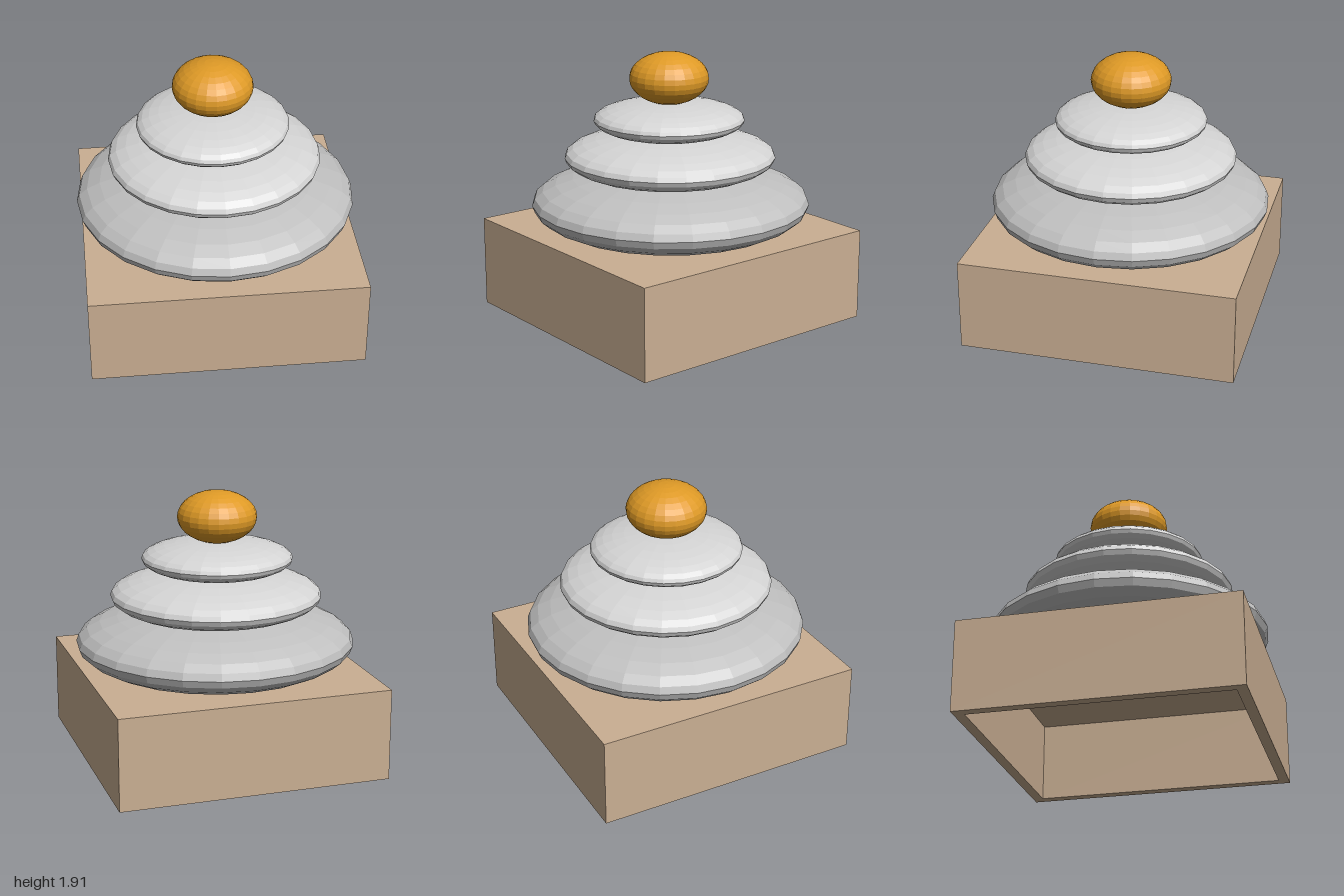
import * as THREE from 'three';
import { mergeGeometries } from 'three/addons/utils/BufferGeometryUtils.js';

const material = (name, color) =>
  new THREE.MeshStandardMaterial({ name, color, flatShading: true });

// Box without its bottom face, standing on y = 0; inward turns the faces inside
function openBox(w, h, d, inward) {
  const g = new THREE.BoxGeometry(w, h, d);
  const index = Array.from(g.index.array);
  index.splice(18, 6);
  g.setIndex(index);
  g.clearGroups();
  g.translate(0, h / 2, 0);
  if (inward) {
    g.scale(-1, 1, 1);
    g.computeVertexNormals();
  }
  return g;
}

function rectangle(PathType, w, d) {
  return new PathType([[-1, -1], [1, -1], [1, 1], [-1, 1]]
    .map(([x, y]) => new THREE.Vector2(x * w / 2, y * d / 2)));
}

// Plinth: hollow box, open underneath
function plinthGeometry(w, h, d, wall) {
  const iw = w - 2 * wall, id = d - 2 * wall;
  const rimShape = rectangle(THREE.Shape, w, d);
  rimShape.holes.push(rectangle(THREE.Path, iw, id));
  const rim = new THREE.ShapeGeometry(rimShape).rotateX(Math.PI / 2);
  return mergeGeometries([openBox(w, h, d, false), openBox(iw, h - wall, id, true), rim]);
}

export function createModel() {
  const model = new THREE.Group();
  const wood = material('tan', 0xcaaf93);
  const darkStone = material('silverGrey', 0xc0c0c0);
  const lightStone = material('lightGrey', 0xd5d5d5);
  const amber = material('amber', 0xdf9a26);

  const plinth = new THREE.Mesh(plinthGeometry(1.925, 0.65, 1.94, 0.074), wood);
  plinth.name = 'plinth';
  plinth.position.z = 0.009;
  model.add(plinth);

  // Stacked flattened pebbles: name, radius, half height, x, y, material
  const stones = [
    ['bottomStone', 0.993, 0.258, 0, 0.83, darkStone],
    ['middleStone', 0.752, 0.174, -0.006, 1.166, lightStone],
    ['upperStone', 0.537, 0.129, -0.016, 1.43, lightStone],
    ['topBall', 0.282, 0.185, -0.016, 1.725, amber],
  ];
  for (const [name, radius, half, x, y, mat] of stones) {
    const geometry = new THREE.SphereGeometry(1, 24, 16).scale(radius, half, radius);
    const stone = new THREE.Mesh(geometry, mat);
    stone.name = name;
    stone.position.set(x, y, 0);
    model.add(stone);
  }
  return model;
}
